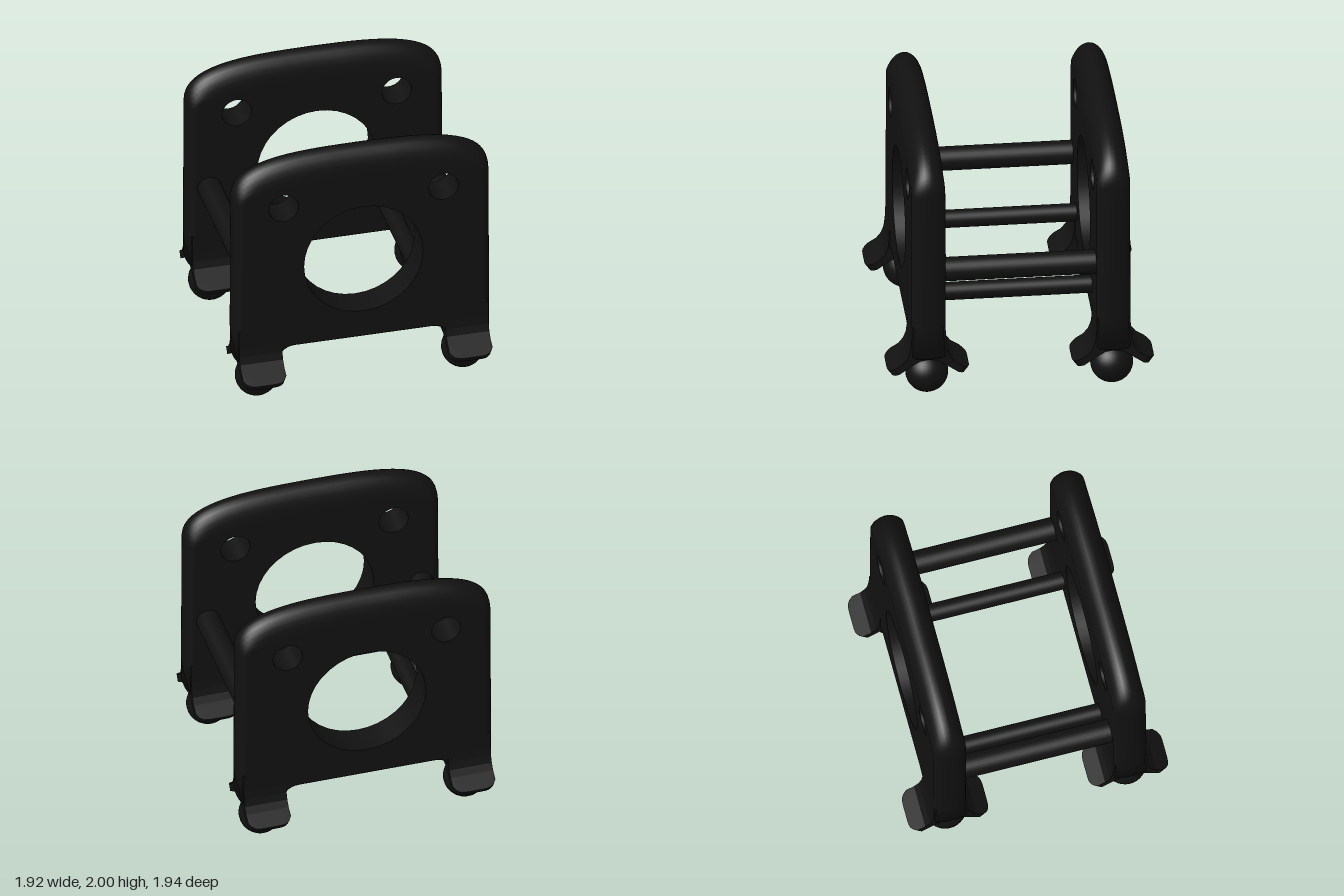
import * as THREE from 'three';
import { mergeGeometries } from 'three/addons/utils/BufferGeometryUtils.js';

const black = new THREE.MeshStandardMaterial({ color: 0x111111 });
const blackInside = new THREE.MeshStandardMaterial({ color: 0x111111, side: THREE.BackSide });

const HALF = 0.122; // half the panel thickness
const PANEL_Z = 0.67;
const HOLES = [[0, 1.09, 0.443], [-0.595, 1.61, 0.11], [0.595, 1.61, 0.11]];

function mesh(name, geometry, material = black) {
  const m = new THREE.Mesh(geometry, material);
  m.name = name;
  return m;
}

// Clockwise panel outline: the right half, then its mirror image
function panelOutline() {
  const path = new THREE.Path();
  path.moveTo(0, 2);
  path.lineTo(0.2, 1.998);
  path.bezierCurveTo(0.62, 1.99, 0.953, 1.94, 0.953, 1.68);
  path.lineTo(0.958, 0.6);
  path.lineTo(0.945, 0.345);
  path.lineTo(0.605, 0.345);
  path.bezierCurveTo(0.59, 0.395, 0.56, 0.415, 0.5, 0.415);
  path.lineTo(0, 0.415);
  const half = path.getPoints(18);
  const mirrored = half.slice(1, -1).reverse().map(p => new THREE.Vector2(-p.x, p.y));
  return half.concat(mirrored);
}

// Rounded rim, deeper along the top edge than at the sides and bottom
function panelGeometry() {
  const outline = panelOutline();
  const n = outline.length, steps = 14;
  const inset = outline.map((p, i) => {
    const a = outline[(i + n - 1) % n], b = outline[(i + 1) % n];
    const before = p.clone().sub(a).normalize(), after = b.clone().sub(p).normalize();
    const t = before.add(after).normalize();
    const top = THREE.MathUtils.smoothstep(p.y, 1.65, 1.97);
    const depth = p.y < 0.5 ? 0.025 : 0.06 + 0.13 * top;
    return new THREE.Vector2(t.y, -t.x).multiplyScalar(depth);
  });
  const positions = [], index = [];
  for (let j = 0; j <= steps; j++) {
    const angle = Math.PI * (0.5 - j / steps);
    const k = 1 - Math.cos(angle);
    outline.forEach((p, i) =>
      positions.push(p.x + inset[i].x * k, p.y + inset[i].y * k, HALF * Math.sin(angle)));
  }
  for (let j = 0; j < steps; j++) {
    for (let i = 0; i < n; i++) {
      const a = j * n + i, b = j * n + (i + 1) % n;
      index.push(a, b, a + n, b, b + n, a + n);
    }
  }
  const rim = new THREE.BufferGeometry();
  rim.setAttribute('position', new THREE.Float32BufferAttribute(positions, 3));
  rim.setIndex(index);
  rim.computeVertexNormals();

  // Flat faces with the three round openings
  const shape = new THREE.Shape(outline.map((p, i) => p.clone().add(inset[i])));
  for (const [x, y, r] of HOLES) {
    shape.holes.push(new THREE.Path().absarc(x, y, r, 0, Math.PI * 2, false));
  }
  const front = new THREE.ShapeGeometry(shape, 18);
  front.deleteAttribute('uv');
  const back = front.clone().rotateY(Math.PI);
  front.translate(0, 0, HALF);
  back.translate(0, 0, -HALF);
  return mergeGeometries([rim, front, back]);
}

// Flared foot: arched section in z and y, extruded across x
function footGeometry() {
  const side = [[0.12, 0.6], [0.126, 0.47], [0.135, 0.4], [0.155, 0.347], [0.19, 0.303],
    [0.298, 0.237], [0.265, 0.19], [0.12, 0.287], [0.06, 0.322]];
  const points = side.concat([[0, 0.332]], side.slice().reverse().map(([z, y]) => [-z, y]));
  const shape = new THREE.Shape(points.map(([z, y]) => new THREE.Vector2(z, y)));
  const width = 0.32;
  const g = new THREE.ExtrudeGeometry(shape, { depth: width, steps: 16, bevelEnabled: false });
  g.rotateY(Math.PI / 2).translate(-width / 2, 0, 0);
  // Round the corners of both flaps
  const pos = g.attributes.position;
  for (let i = 0; i < pos.count; i++) {
    const z = pos.getZ(i);
    if (Math.abs(z) < 0.2) continue;
    const pull = 0.05 * Math.pow(Math.abs(pos.getX(i)) / (width / 2), 6);
    pos.setZ(i, z - Math.sign(z) * pull);
    pos.setY(i, pos.getY(i) + pull * 0.6);
  }
  g.computeVertexNormals();
  return g;
}

export function createModel() {
  const group = new THREE.Group();
  const panel = panelGeometry();
  const foot = footGeometry();
  const ball = new THREE.SphereGeometry(0.155, 32, 20);

  // Two end panels, each with lined openings, flared feet and ball casters
  for (const end of [1, -1]) {
    const assembly = new THREE.Group();
    assembly.name = end > 0 ? 'frontPanel' : 'backPanel';
    assembly.position.z = end * PANEL_Z;
    assembly.add(mesh('panel', panel));
    for (const [x, y, r] of HOLES) {
      const wall = mesh('openingWall',
        new THREE.CylinderGeometry(r, r, HALF * 2, 36, 1, true).rotateX(Math.PI / 2), blackInside);
      wall.position.set(x, y, 0);
      assembly.add(wall);
    }
    for (const s of [1, -1]) {
      const f = mesh('foot', foot);
      f.position.x = s * 0.768;
      const b = mesh('ballCaster', ball);
      b.position.set(s * 0.768, 0.155, 0);
      assembly.add(f, b);
    }
    group.add(assembly);
  }

  // Rods joining the panels: thick outer pair, thin lower pair
  for (const [name, x, y, r] of [['upperRod', 0.8, 1.005, 0.088], ['lowerRod', 0.522, 0.663, 0.066]]) {
    for (const s of [1, -1]) {
      const rod = mesh(name, new THREE.CylinderGeometry(r, r, 1.14, 28).rotateX(Math.PI / 2));
      rod.position.set(s * x, y, 0);
      group.add(rod);
    }
  }
  return group;
}
